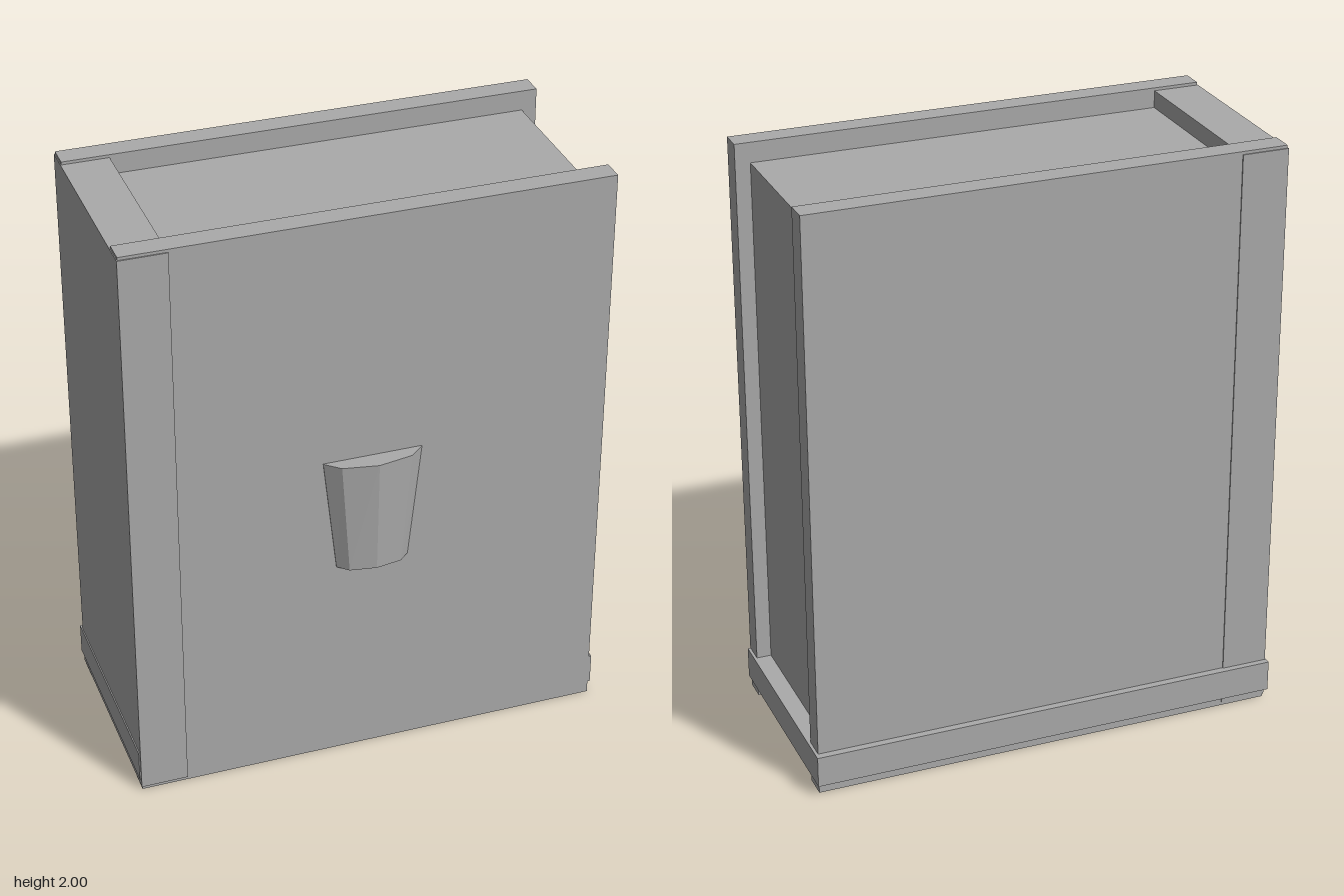
import * as THREE from 'three';

export function createModel() {
  const group = new THREE.Group();
  group.name = 'book';
  const grey = new THREE.MeshStandardMaterial({ color: 0xaaaaaa, flatShading: true });
  grey.name = 'grey';

  const add = (name, geometry) => {
    const mesh = new THREE.Mesh(geometry, grey);
    mesh.name = name;
    group.add(mesh);
    return mesh;
  };
  // Box given by its limits on each axis
  const block = (name, [x0, x1], [y0, y1], [z0, z1]) =>
    add(name, new THREE.BoxGeometry(x1 - x0, y1 - y0, z1 - z0))
      .position.set((x0 + x1) / 2, (y0 + y1) / 2, (z0 + z1) / 2);

  // Two covers, the spine wrapped around them and the recessed pages
  block('frontCover', [-0.8, 0.797], [0, 2], [0.267, 0.343]);
  block('backCover', [-0.8, 0.797], [0, 2], [-0.385, -0.307]);
  block('spine', [-0.803, -0.645], [0.012, 1.99], [-0.389, 0.347]);
  block('pages', [-0.7, 0.747], [0.05, 1.932], [-0.32, 0.28]);

  // Band around the foot of the book
  block('band', [-0.807, 0.807], [0.04, 0.147], [-0.41, 0.34]);

  // Tapered, faceted clasp on the front cover
  const back = 0.335;
  const section = (half, inner, zInner, zMid, y) => [
    [-half, y, back], [-half, y, 0.345], [-inner, y, zInner], [0, y, zMid],
    [inner, y, zInner], [half, y, 0.345], [half, y, back],
  ];
  const low = section(0.122, 0.088, 0.377, 0.392, 0.74);
  const high = section(0.166, 0.118, 0.388, 0.41, 1.145);
  const n = low.length;
  const index = [];
  for (let i = 0; i < n; i++) {
    const j = (i + 1) % n;
    index.push(i, j, n + j, i, n + j, n + i); // sides
    if (i > 0 && i < n - 1) {
      index.push(0, i + 1, i); // bottom
      index.push(n, n + i, n + i + 1); // top
    }
  }
  const clasp = new THREE.BufferGeometry();
  clasp.setAttribute('position', new THREE.Float32BufferAttribute([...low, ...high].flat(), 3));
  clasp.setIndex(index);
  const flat = clasp.toNonIndexed();
  flat.computeVertexNormals();
  add('clasp', flat);

  return group;
}
